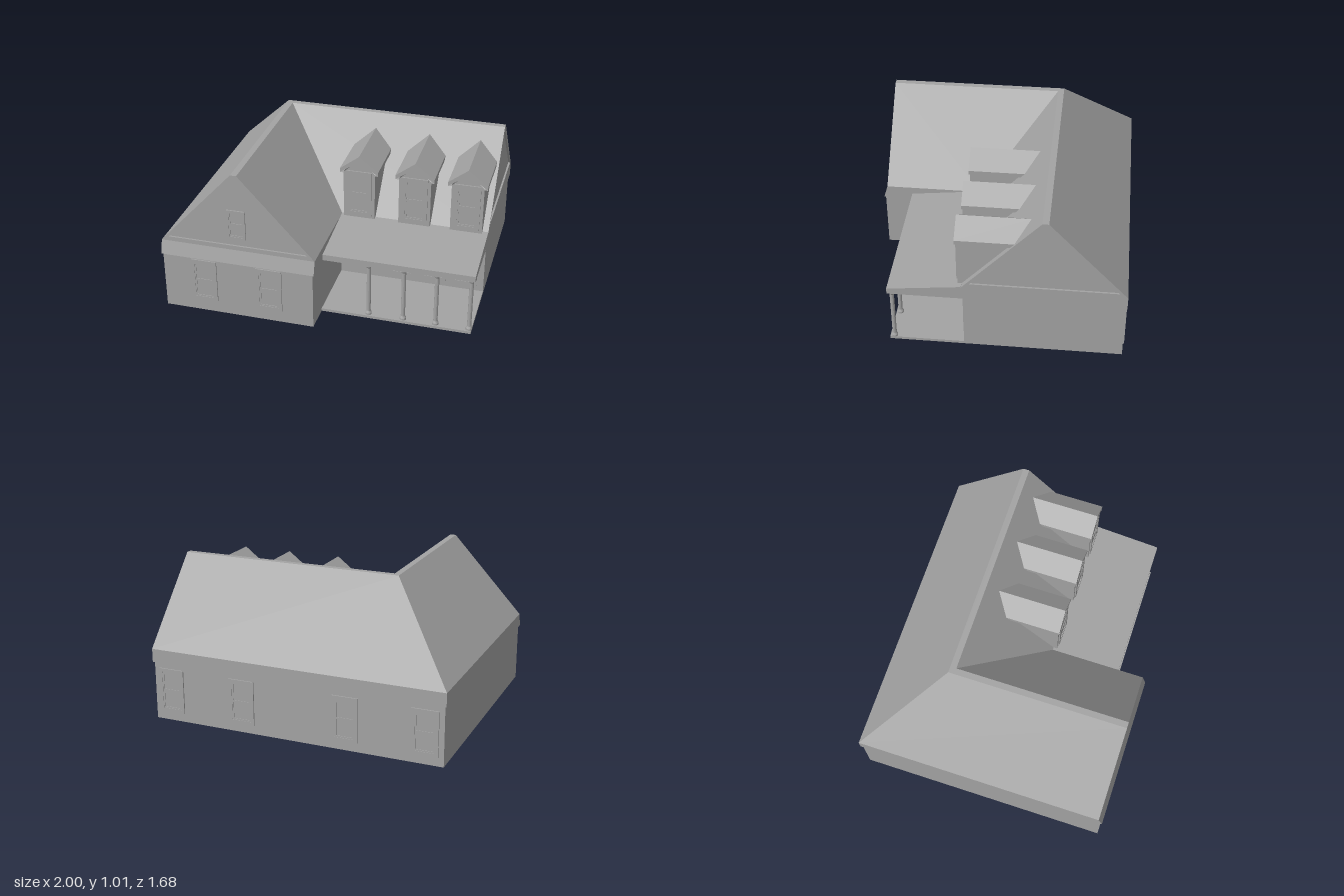
import * as THREE from 'three';

const grey = new THREE.MeshStandardMaterial({ color: 0xa3a3a3, side: THREE.DoubleSide, flatShading: true });
grey.name = 'plain grey';

const EAVE = 0.48, RIDGE = 1.01, SOFFIT = 0.39;

function add(parent, name, geometry, x = 0, y = 0, z = 0) {
  const mesh = new THREE.Mesh(geometry, grey);
  mesh.name = name;
  mesh.position.set(x, y, z);
  parent.add(mesh);
  return mesh;
}

function group(parent, name, x = 0, y = 0, z = 0) {
  const g = new THREE.Group();
  g.name = name;
  g.position.set(x, y, z);
  parent.add(g);
  return g;
}

// Flat faces from convex corner lists
function faces(polygons) {
  const positions = [];
  for (const p of polygons)
    for (let i = 1; i < p.length - 1; i++) positions.push(...p[0], ...p[i], ...p[i + 1]);
  const g = new THREE.BufferGeometry();
  g.setAttribute('position', new THREE.Float32BufferAttribute(positions, 3));
  g.computeVertexNormals();
  return g;
}

// Strip joining two closed plan outlines at two heights
function band(a, ya, b, yb) {
  return faces(a.map(([x, z], i) => {
    const j = (i + 1) % a.length;
    return [[x, ya, z], [a[j][0], ya, a[j][1]], [b[j][0], yb, b[j][1]], [b[i][0], yb, b[i][1]]];
  }));
}

const toPoints = list => list.map(([x, y]) => new THREE.Vector2(x, y));

// Extruded outline with an optional hole
function plate(outline, hole, depth) {
  const shape = new THREE.Shape(toPoints(outline));
  if (hole) shape.holes.push(new THREE.Path(toPoints(hole)));
  return new THREE.ExtrudeGeometry(shape, { depth, bevelEnabled: false });
}

const rect = (w, h) => [[-w / 2, -h / 2], [w / 2, -h / 2], [w / 2, h / 2], [-w / 2, h / 2]];

// L-shaped house plan, inset from the eaves
const plan = (inset, front) => [
  [-1 + inset, -0.84 + inset], [1 - inset, -0.84 + inset], [1 - inset, 0.18 - inset],
  [0.02 - inset, 0.18 - inset], [0.02 - inset, front], [-1 + inset, front],
];

// Sash window facing +z, centred on its position
function sashWindow(parent, x, y, z, w, h, trim) {
  const g = group(parent, 'window', x, y, z);
  const iw = w - 2 * trim, ih = h - 2 * trim;
  add(g, 'windowTrim', plate(rect(w, h), rect(iw, ih), 0.009));
  add(g, 'windowSash', plate(rect(iw, ih), rect(iw - 0.02, ih - 0.02), 0.006));
  add(g, 'windowRail', new THREE.BoxGeometry(iw - 0.02, 0.014, 0.006), 0, 0, 0.003);
  add(g, 'windowPane', new THREE.PlaneGeometry(iw, ih), 0, 0, 0.002);
  return g;
}

// Gable end facing +z: raking trim around a recessed triangle
function gable(parent, name, x, z) {
  const g = group(parent, name, x, 0, z);
  const triangle = [[-0.46, 0.51], [0.46, 0.51], [0, 0.985]];
  add(g, 'rakeTrim', plate([[-0.51, EAVE], [0.51, EAVE], [0.02, RIDGE], [-0.02, RIDGE]], triangle, 0.012), 0, 0, -0.012);
  add(g, 'gableWall', faces([triangle.map(([u, v]) => [u, v, -0.012])]));
  return g;
}

// Depth at which the front roof slope reaches height y
const roofZ = y => 0.18 - (y - EAVE) * 0.49 / (RIDGE - EAVE);

function dormer(parent, x) {
  const g = group(parent, 'dormer', x);
  const half = 0.105, over = 0.128, front = 0.205, lip = 0.217, low = 0.805, eave = 0.832, top = 0.93, base = 0.475;
  const sides = [], roof = [];
  for (const s of [-1, 1]) {
    const a = s * half, b = s * over;
    sides.push([[a, base, front], [a, low, front], [a, low, roofZ(low)], [a, base, roofZ(base)]]);
    roof.push(
      [[b, eave, lip], [0, top, lip], [0, top, roofZ(top)], [b, eave, roofZ(eave)]],
      [[b, low, lip], [b, eave, lip], [b, eave, roofZ(eave)], [b, low, roofZ(low)]],
      [[b, low, lip], [a, low, lip], [a, low, roofZ(low)], [b, low, roofZ(low)]],
      [[b, low, lip], [b, eave, lip], [0, top, lip], [0, top - 0.036, lip]],
      [[b, low, lip], [0, top - 0.036, lip], [0, top - 0.036, front], [b, low, front]],
    );
  }
  add(g, 'dormerSides', faces(sides));
  add(g, 'dormerFront', faces([[[-half, base, front], [half, base, front], [half, low, front], [0, 0.905, front], [-half, low, front]]]));
  add(g, 'dormerRoof', faces(roof));
  sashWindow(g, 0, 0.66, front, 0.17, 0.32, 0.024);
}

export function createModel() {
  const house = new THREE.Group();
  house.name = 'house';

  // Hollow walls, soffit and fascia
  const wallPlan = plan(0.01, 0.832), eavePlan = plan(0, 0.842);
  add(house, 'walls', band(wallPlan, 0, wallPlan, SOFFIT));
  add(house, 'soffit', band(wallPlan, SOFFIT, eavePlan, SOFFIT));
  add(house, 'fascia', band(eavePlan, SOFFIT, plan(0, 0.815), EAVE));

  // Roof slopes with a narrow flat ridge, hip and valley
  const f = 0.815;
  add(house, 'roof', faces([
    [[1, EAVE, -0.84], [-1, EAVE, -0.84], [-0.51, RIDGE, -0.35], [1, RIDGE, -0.35]],
    [[-1, EAVE, -0.84], [-1, EAVE, f], [-0.51, RIDGE, f], [-0.51, RIDGE, -0.35]],
    [[-0.47, RIDGE, -0.31], [0.02, EAVE, 0.18], [1, EAVE, 0.18], [1, RIDGE, -0.31]],
    [[-0.47, RIDGE, f], [0.02, EAVE, f], [0.02, EAVE, 0.18], [-0.47, RIDGE, -0.31]],
    [[-0.51, RIDGE, -0.35], [-0.47, RIDGE, -0.31], [1, RIDGE, -0.31], [1, RIDGE, -0.35]],
    [[-0.51, RIDGE, -0.35], [-0.51, RIDGE, f], [-0.47, RIDGE, f], [-0.47, RIDGE, -0.31]],
  ]));

  // Gable ends
  const frontGable = gable(house, 'frontGable', -0.49, f);
  sashWindow(frontGable, 0, 0.66, -0.012, 0.12, 0.2, 0.012);
  gable(house, 'sideGable', 1, -0.33).rotation.y = Math.PI / 2;

  for (const x of [0.143, 0.513, 0.856]) dormer(house, x);

  // Porch
  const porch = group(house, 'porch');
  const porchRoof = plate([[0.18, SOFFIT], [0.645, SOFFIT], [0.645, 0.43], [0.18, EAVE + 0.003]], null, 0.98);
  add(porch, 'porchRoof', porchRoof.rotateY(-Math.PI / 2), 1);
  add(porch, 'porchFloor', new THREE.BoxGeometry(1.07, 0.018, 0.495), 0.455, 0.009, 0.3975);
  const post = new THREE.LatheGeometry(toPoints([
    [0.021, 0.018], [0.021, 0.03], [0.014, 0.045], [0.014, 0.37], [0.02, 0.38], [0.02, SOFFIT],
  ]), 12);
  for (const x of [0.318, 0.545, 0.757, 0.974]) add(porch, 'porchPost', post, x, 0, 0.618);

  // Ground floor windows
  for (const x of [-0.715, -0.28]) sashWindow(house, x, 0.232, 0.832, 0.17, 0.295, 0.022);
  for (const x of [0.437, 0.652, 0.862]) sashWindow(house, x, 0.215, 0.17, 0.165, 0.31, 0.022);
  for (const x of [-0.868, -0.35, 0.36, 0.868])
    sashWindow(house, x, 0.207, -0.83, 0.175, 0.295, 0.022).rotation.y = Math.PI;

  return house;
}
